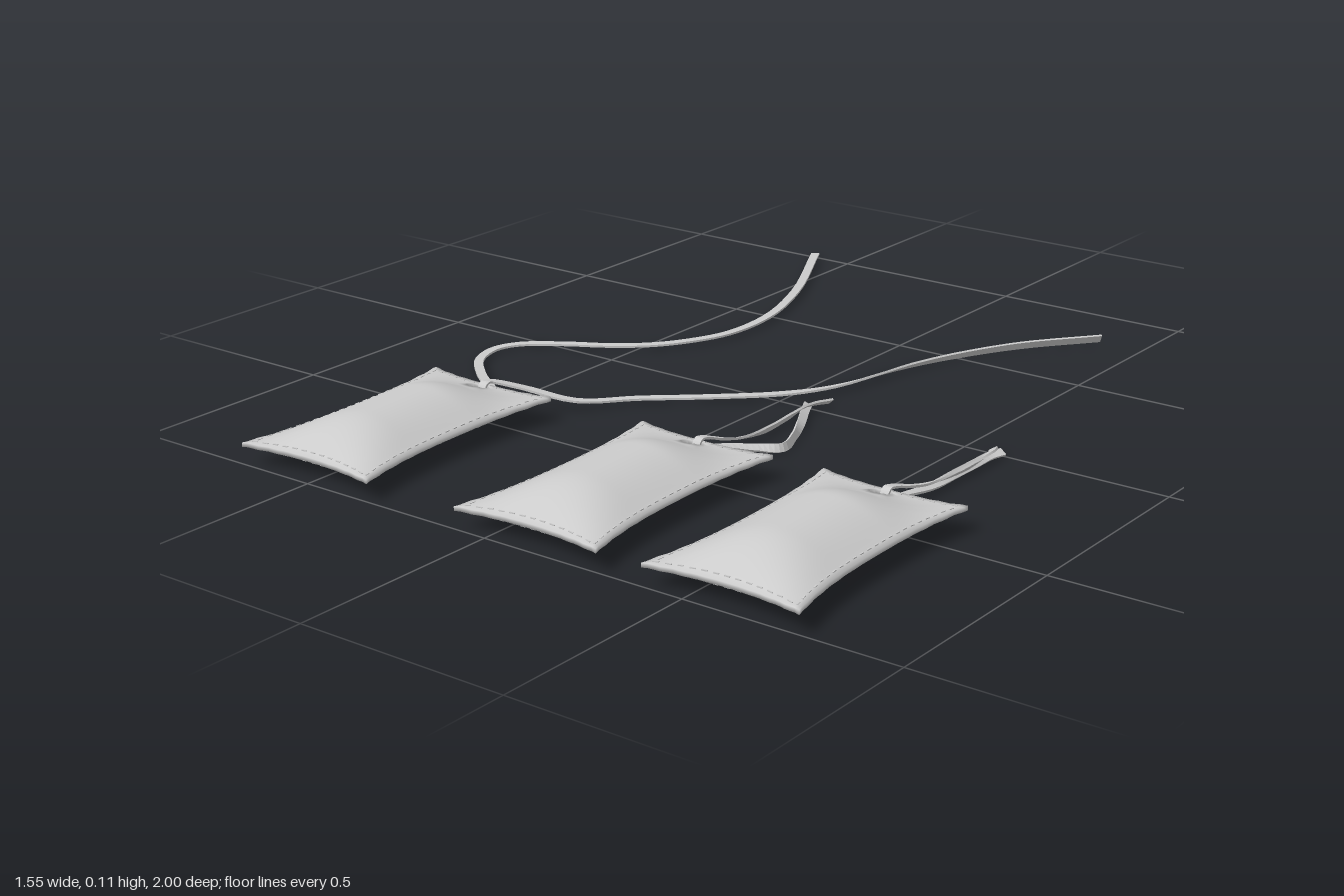
import * as THREE from 'three';
import { mergeGeometries } from 'three/addons/utils/BufferGeometryUtils.js';

const material = new THREE.MeshStandardMaterial({ color: 0xcccccc, side: THREE.DoubleSide });
const COLS = 28, ROWS = 48;
const HOLE_COL = 14, HOLE_ROW = 4, HOLE_RADIUS = 0.026;

// Point on the cushion skin; side is +1 for the top, -1 for the underside
function skinPoint(col, row, side) {
  const u = (col / COLS) * 2 - 1, v = row / ROWS, m = 2 * v - 1;
  const halfWidth = 0.152 + 0.024 * Math.abs(m) ** 2.6 + (v > 0.5 ? 0.009 * m * m : 0);
  const back = 0.424 - 0.014 * Math.abs(u) ** 3, front = 0.975 + 0.025 * u * u;
  let x = u * halfWidth;
  let z = back + (front - back) * v;

  // ease the cells around the eyelet into a round opening
  const dc = col - HOLE_COL, dr = row - HOLE_ROW, ring = Math.max(Math.abs(dc), Math.abs(dr));
  if (ring === 2 || ring === 3) {
    const angle = Math.atan2(dr, dc), radius = HOLE_RADIUS * ring / 2, blend = ring === 2 ? 1 : 0.4;
    x += (Math.cos(angle) * radius - x) * blend;
    z += (0.459 + Math.sin(angle) * radius - z) * blend;
  }

  const across = Math.pow(1 - u * u, 1.2);
  const along = THREE.MathUtils.smoothstep(v, 0, 0.36) * (1 - Math.max(0, 1 - (1 - v) / 0.3) ** 2);
  const seam = 0.051 - 0.009 * v + 0.003 * u * u + 0.001 * Math.sin(col * 1.7 + row * 1.3) * Math.abs(u * m);
  const y = seam + side * 0.005 + (side > 0 ? 0.055 : -0.037) * across * along;
  return new THREE.Vector3(x, y, z);
}

// Grid cells round a rectangle, anticlockwise from above
function gridLoop(c0, c1, r0, r1) {
  const loop = [];
  for (let c = c0; c < c1; c++) loop.push([c, r1]);
  for (let r = r1; r > r0; r--) loop.push([c1, r]);
  for (let c = c1; c > c0; c--) loop.push([c, r0]);
  for (let r = r0; r < r1; r++) loop.push([c0, r]);
  return loop;
}

// Padded cushion with an eyelet through its back edge
function cushionGeometry() {
  const positions = [], index = [];
  const layer = (COLS + 1) * (ROWS + 1);
  const id = (c, r) => r * (COLS + 1) + c;
  const quad = (a, b, c, d) => index.push(a, b, c, a, c, d);
  for (const side of [1, -1])
    for (let r = 0; r <= ROWS; r++)
      for (let c = 0; c <= COLS; c++) positions.push(...skinPoint(c, r, side).toArray());
  for (let r = 0; r < ROWS; r++)
    for (let c = 0; c < COLS; c++) {
      if (Math.abs(c + 0.5 - HOLE_COL) < 2 && Math.abs(r + 0.5 - HOLE_ROW) < 2) continue;
      const q = [id(c, r), id(c, r + 1), id(c + 1, r + 1), id(c + 1, r)];
      quad(...q);
      quad(...q.reverse().map(i => i + layer));
    }
  const rim = gridLoop(0, COLS, 0, ROWS);
  const eyelet = gridLoop(HOLE_COL - 2, HOLE_COL + 2, HOLE_ROW - 2, HOLE_ROW + 2).reverse();
  for (const loop of [rim, eyelet])
    loop.forEach((p, i) => {
      const a = id(...p), b = id(...loop[(i + 1) % loop.length]);
      quad(a, a + layer, b + layer, b);
    });
  const geometry = new THREE.BufferGeometry();
  geometry.setAttribute('position', new THREE.Float32BufferAttribute(positions, 3));
  geometry.setIndex(index);
  geometry.computeVertexNormals();
  return geometry;
}

// Dashes of thread just inside the rim, on both faces
function stitchGeometry() {
  const dashes = [], loop = gridLoop(1, COLS - 1, 1, ROWS - 1);
  for (const side of [1, -1])
    for (let i = 0; i < loop.length; i += 2) {
      const a = skinPoint(...loop[i], side), b = skinPoint(...loop[(i + 1) % loop.length], side);
      const dash = new THREE.Object3D();
      dash.position.copy(a).lerp(b, 0.5);
      dash.lookAt(b);
      dash.updateMatrix();
      dashes.push(new THREE.BoxGeometry(0.003, 0.003, a.distanceTo(b)).applyMatrix4(dash.matrix));
    }
  return mergeGeometries(dashes);
}

// Flat ribbon swept along points [x, y, z, twist]
function ribbonGeometry(points, width = 0.022, thickness = 0.005) {
  const curve = new THREE.CatmullRomCurve3(points.map(p => new THREE.Vector3(p[0], p[1], p[2])), false, 'centripetal');
  const steps = (points.length - 1) * 5, up = new THREE.Vector3(0, 1, 0);
  const positions = [], index = [];
  let last = null;
  for (let i = 0; i <= steps; i++) {
    const t = i / steps, k = Math.min(Math.floor(i / 5), points.length - 2), f = i / 5 - k;
    const center = curve.getPoint(t), tangent = curve.getTangent(t);
    let side = new THREE.Vector3().crossVectors(up, tangent);
    if (side.length() < 0.15 && last) side.copy(last);
    side.normalize();
    if (last && side.dot(last) < 0) side.negate();
    last = side.clone();
    side.applyAxisAngle(tangent, THREE.MathUtils.lerp(points[k][3] || 0, points[k + 1][3] || 0, f));
    const normal = new THREE.Vector3().crossVectors(tangent, side);
    for (const [a, b] of [[-1, -1], [1, -1], [1, 1], [-1, 1]])
      positions.push(...center.clone().addScaledVector(side, a * width / 2).addScaledVector(normal, b * thickness / 2).toArray());
    if (i < steps)
      for (let j = 0; j < 4; j++) {
        const a = i * 4 + j, b = i * 4 + (j + 1) % 4;
        index.push(a, b, b + 4, a, b + 4, a + 4);
      }
  }
  const end = steps * 4;
  index.push(0, 2, 1, 0, 3, 2, end, end + 1, end + 2, end, end + 2, end + 3);
  const geometry = new THREE.BufferGeometry();
  geometry.setAttribute('position', new THREE.Float32BufferAttribute(positions, 3));
  geometry.setIndex(index);
  const flat = geometry.toNonIndexed();
  flat.computeVertexNormals();
  return flat;
}

// Ribbon passing over the edge, down the eyelet and back underneath
const throughEyelet = x => [
  [x, 0.061, 0.415], [x, 0.063, 0.436], [x, 0.05, 0.446], [x, 0.037, 0.438], [x, 0.036, 0.415],
];

export function createModel() {
  const model = new THREE.Group();
  const add = (name, geometry, x = 0) => {
    const mesh = new THREE.Mesh(geometry, material);
    mesh.name = name;
    mesh.position.x = x;
    model.add(mesh);
  };

  // Three equal cushions
  const cushion = cushionGeometry(), stitches = stitchGeometry();
  [['right', -0.51], ['middle', 0.105], ['left', 0.587]].forEach(([place, x]) => {
    add(place + 'Cushion', cushion, x);
    add(place + 'Stitching', stitches, x);
  });

  // Long untied ribbon
  add('longRibbon', ribbonGeometry([
    [0.386, 0.011, -0.81, 1.05], [0.254, 0.011, -0.645, 1.05], [0.17, 0.011, -0.49, 0.9],
    [0.12, 0.011, -0.36, 0.7], [0.063, 0.012, -0.13, 0.2], [-0.005, 0.012, -0.02],
    [-0.127, 0.012, 0.095], [-0.254, 0.012, 0.2], [-0.34, 0.022, 0.317], [-0.455, 0.045, 0.37],
    ...throughEyelet(-0.51),
    [-0.656, 0.014, 0.29], [-0.746, 0.008, 0.196], [-0.767, 0.008, 0.116], [-0.74, 0.009, 0.058],
    [-0.646, 0.011, -0.005], [-0.56, 0.012, -0.05], [-0.476, 0.012, -0.116], [-0.418, 0.012, -0.196],
    [-0.376, 0.012, -0.3], [-0.376, 0.012, -0.46], [-0.444, 0.012, -0.68], [-0.603, 0.012, -0.995],
  ]));

  // Open loop with crossed ends
  add('openLoop', ribbonGeometry([
    [0.116, 0.014, -0.04, 0.7], [0.098, 0.018, 0.02, 0.6], [0.1, 0.014, 0.1, 1],
    [0.108, 0.014, 0.2, 1], [0.107, 0.024, 0.3, 0.3], [0.106, 0.045, 0.37],
    ...throughEyelet(0.105),
    [0.122, 0.027, 0.36, 0.2], [0.165, 0.016, 0.305, 0.5], [0.2, 0.012, 0.262, 1.2],
    [0.178, 0.012, 0.19, 1.3], [0.14, 0.012, 0.11, 0.6], [0.1, 0.009, 0.04, 0.5], [0.08, 0.01, 0, 0.5],
  ], 0.02));

  // Closed loop with its strands lying together
  add('closedLoop', ribbonGeometry([
    [0.577, 0.014, 0.005, 0.5], [0.59, 0.019, 0.035, 0.5], [0.594, 0.016, 0.12, 0.9],
    [0.59, 0.016, 0.2, 0.8], [0.588, 0.028, 0.3, 0.2], [0.587, 0.047, 0.37],
    ...throughEyelet(0.587),
    [0.588, 0.027, 0.36], [0.588, 0.014, 0.27, 0.3], [0.584, 0.01, 0.17, 0.8],
    [0.586, 0.01, 0.1, 0.8], [0.588, 0.01, 0.035, 0.5], [0.598, 0.01, 0, 0.5],
  ], 0.02));

  return model;
}
